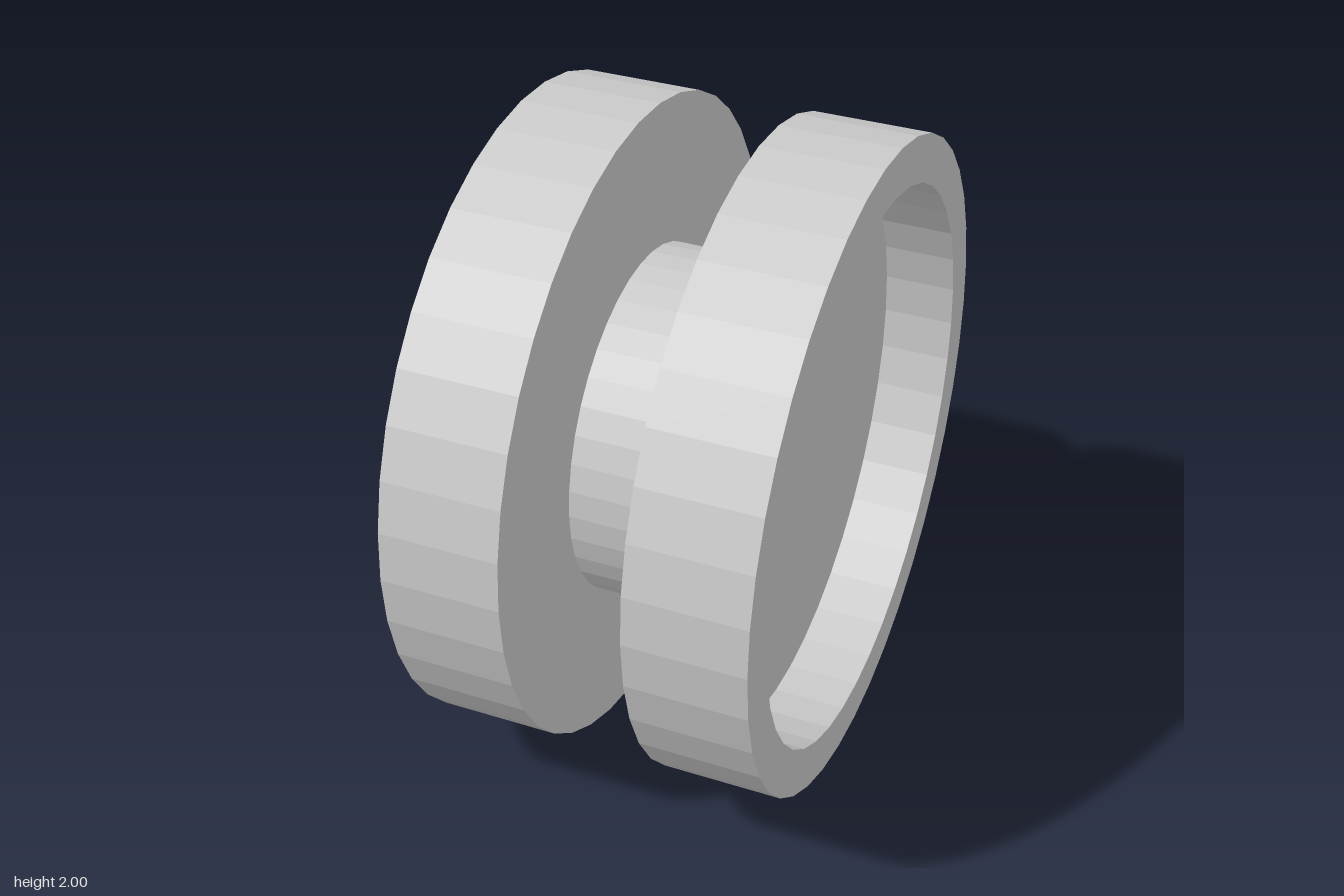
import * as THREE from 'three';

const SIDES = 40;
const R = 1, RIM = 0.855, HUB = 0.543, BORE = 0.36; // radii
const OUT = 0.543, WEB = 0.32, IN = 0.18;           // distances along the axle
const BORE_END = -0.03;

const material = new THREE.MeshStandardMaterial({ color: 0xcccccc, flatShading: true });

// Revolves a profile of [radius, x] points about the x axis, with faceted sides
function revolve(name, profile) {
  const points = profile.map(([r, x]) => new THREE.Vector2(r, x));
  const geometry = new THREE.LatheGeometry(points, SIDES).toNonIndexed();
  geometry.rotateZ(-Math.PI / 2);
  geometry.computeVertexNormals();
  const mesh = new THREE.Mesh(geometry, material);
  mesh.name = name;
  return mesh;
}

export function createModel() {
  const model = new THREE.Group();
  model.name = 'spool';

  const axle = new THREE.Group();
  axle.name = 'axleAssembly';
  axle.position.y = R;
  model.add(axle);

  // Left disc: closed dished face
  axle.add(revolve('leftDisc', [
    [0, IN], [R, IN], [R, OUT], [RIM, OUT], [RIM, WEB], [0, WEB],
  ]));

  // Right disc: dished face with a round bore through its web
  axle.add(revolve('rightDisc', [
    [BORE, -IN], [BORE, -WEB], [RIM, -WEB], [RIM, -OUT], [R, -OUT], [R, -IN], [BORE, -IN],
  ]));

  // Hub between the discs, holding the blind end of the bore
  axle.add(revolve('hub', [
    [0, BORE_END], [BORE, BORE_END], [BORE, -IN], [HUB, -IN], [HUB, IN],
  ]));

  return model;
}
